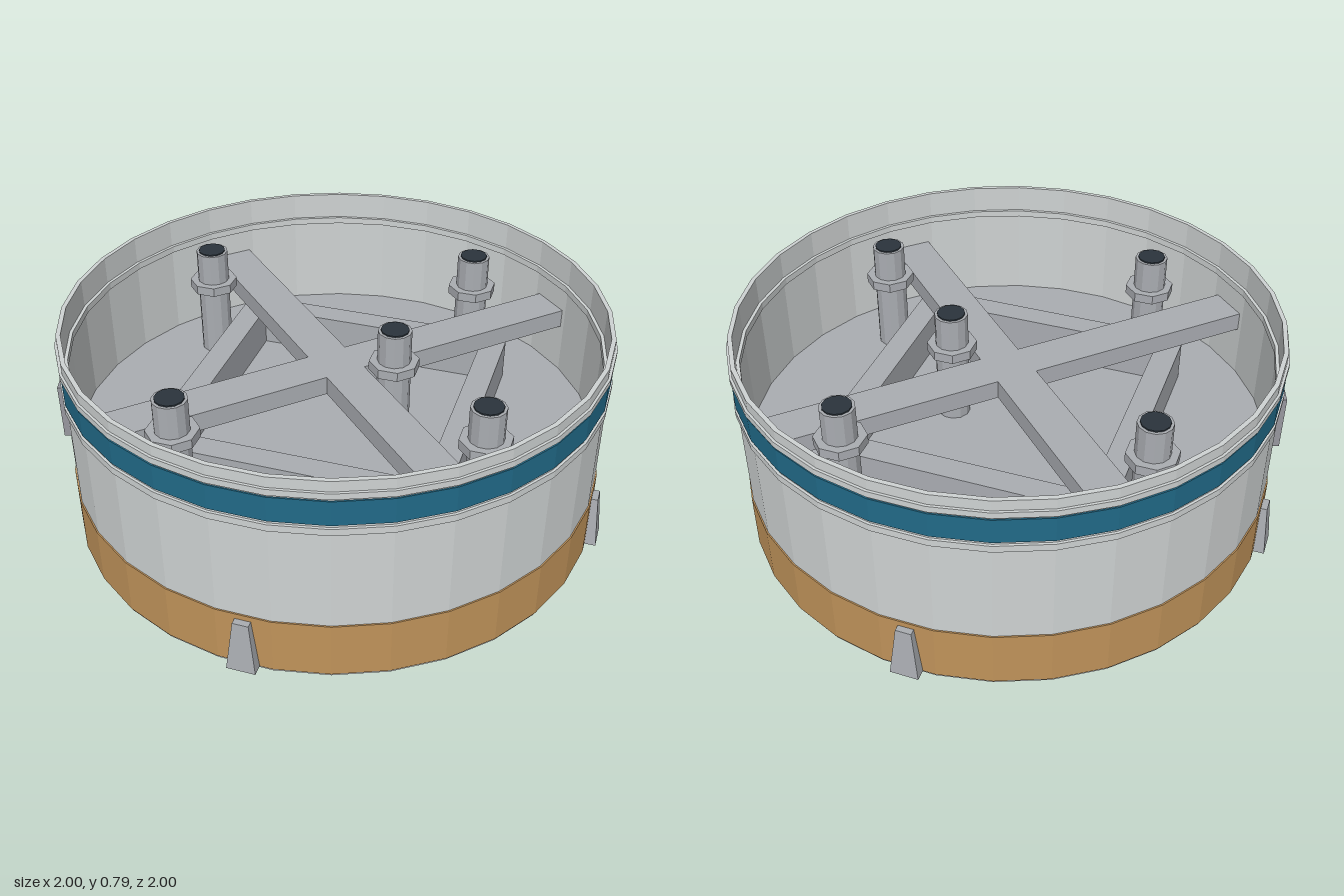
import * as THREE from 'three';

const SIDES = 32;

export function createModel() {
  const root = new THREE.Group();
  const mat = (name, color, opts = {}) => {
    const m = new THREE.MeshStandardMaterial({ color, flatShading: true, ...opts });
    m.name = name;
    return m;
  };
  const shellGrey = mat('shell grey', 0xcfd3d3);
  const copper = mat('copper', 0xc0935a);
  const blue = mat('band blue', 0x216a88);
  const steel = mat('steel grey', 0xaaadb2);
  const panelGrey = mat('panel grey', 0x97979e);
  const dark = mat('dark cap', 0x2b343c);

  const add = (name, geo, material, x = 0, y = 0, z = 0, parent = root) => {
    const mesh = new THREE.Mesh(geo, material);
    mesh.name = name;
    mesh.position.set(x, y, z);
    parent.add(mesh);
    return mesh;
  };

  // Closed ring of rectangular section, facets centred on the axes
  const ring = (name, inner, outer, y0, y1, material, sides = SIDES, x = 0, z = 0) => {
    const pts = [[inner, y0], [outer, y0], [outer, y1], [inner, y1], [inner, y0]]
      .map(([r, y]) => new THREE.Vector2(r, y));
    return add(name, new THREE.LatheGeometry(pts, sides, Math.PI / sides), material, x, 0, z);
  };
  const cylinder = (name, r, y0, y1, sides, material, x = 0, z = 0) => {
    const geo = new THREE.CylinderGeometry(r, r, y1 - y0, sides);
    geo.rotateY(Math.PI / sides);
    return add(name, geo, material, x, (y0 + y1) / 2, z);
  };

  // Outer wall with painted bands and stiffening rings
  ring('shellWall', 0.944, 0.96, 0, 0.79, shellGrey);
  ring('copperBand', 0.955, 0.965, 0.01, 0.22, copper);
  ring('blueBand', 0.955, 0.965, 0.63, 0.72, blue);
  ring('lowerOuterRing', 0.955, 0.969, 0.595, 0.62, shellGrey);
  ring('upperOuterRing', 0.955, 0.969, 0.73, 0.752, shellGrey);
  ring('upperInnerRing', 0.932, 0.95, 0.665, 0.69, shellGrey);
  ring('lowerInnerRing', 0.932, 0.95, 0.08, 0.105, shellGrey);

  // Deck: copper underneath, steel on top
  cylinder('deckUnderside', 0.947, 0.26, 0.29, SIDES, copper);
  cylinder('deckTop', 0.947, 0.29, 0.32, SIDES, steel);

  // Round plates under the deck
  const plateSpots = [[0, 0]];
  for (let i = 0; i < 4; i++) {
    const a = Math.PI / 4 + i * Math.PI / 2;
    plateSpots.push([0.675 * Math.cos(a), 0.675 * Math.sin(a)]);
  }
  for (const [x, z] of plateSpots) {
    cylinder('undersidePlateEdge', 0.23, 0.253, 0.27, 16, dark, x, z);
    cylinder('undersidePlate', 0.218, 0.247, 0.27, 16, steel, x, z);
  }

  // Crossed diagonal beams
  for (const s of [-1, 1]) {
    const beam = add('crossBeam', new THREE.BoxGeometry(1.88, 0.07, 0.15), steel, 0, 0.538, 0);
    beam.rotation.y = s * Math.PI / 4;
  }

  // Square frame of ribs below the beams
  for (let i = 0; i < 4; i++) {
    const side = new THREE.Group();
    side.name = 'frameSide';
    side.rotation.y = i * Math.PI / 2;
    add('frameRib', new THREE.BoxGeometry(0.97, 0.16, 0.09), steel, 0, 0.39, 0.485, side);
    root.add(side);
  }

  // Standpipes with collars and dark mouths
  const pipeSpots = [[0.215, 0]];
  for (let i = 0; i < 4; i++) {
    const a = Math.PI / 6 + i * Math.PI / 2;
    pipeSpots.push([0.715 * Math.cos(a), 0.715 * Math.sin(a)]);
  }
  for (const [x, z] of pipeSpots) {
    cylinder('standpipe', 0.06, 0.31, 0.745, 12, steel, x, z);
    cylinder('pipeCollar', 0.09, 0.59, 0.625, 8, steel, x, z);
    cylinder('pipeMouth', 0.05, 0.74, 0.75, 12, dark, x, z);
  }

  // Four tapered feet around the base
  for (let i = 0; i < 4; i++) {
    const geo = new THREE.BoxGeometry(0.1, 0.19, 0.05);
    const p = geo.attributes.position;
    for (let v = 0; v < p.count; v++) {
      if (p.getY(v) > 0) {
        p.setX(v, p.getX(v) * 0.55);
        if (p.getZ(v) > 0) p.setZ(v, 0.008);
      }
    }
    geo.computeVertexNormals();
    const mount = new THREE.Group();
    mount.name = 'foot';
    mount.rotation.y = i * Math.PI / 2;
    add('footBlock', geo, steel, 0, 0.105, 0.975, mount);
    root.add(mount);
  }

  // Access panel on the wall
  const panelMount = new THREE.Group();
  panelMount.name = 'accessPanel';
  panelMount.rotation.y = -Math.PI / 2 + 17.5 * Math.PI / 180;
  add('panelPlate', new THREE.BoxGeometry(0.33, 0.205, 0.025), panelGrey, 0, 0.467, 0.957, panelMount);
  root.add(panelMount);

  return root;
}
